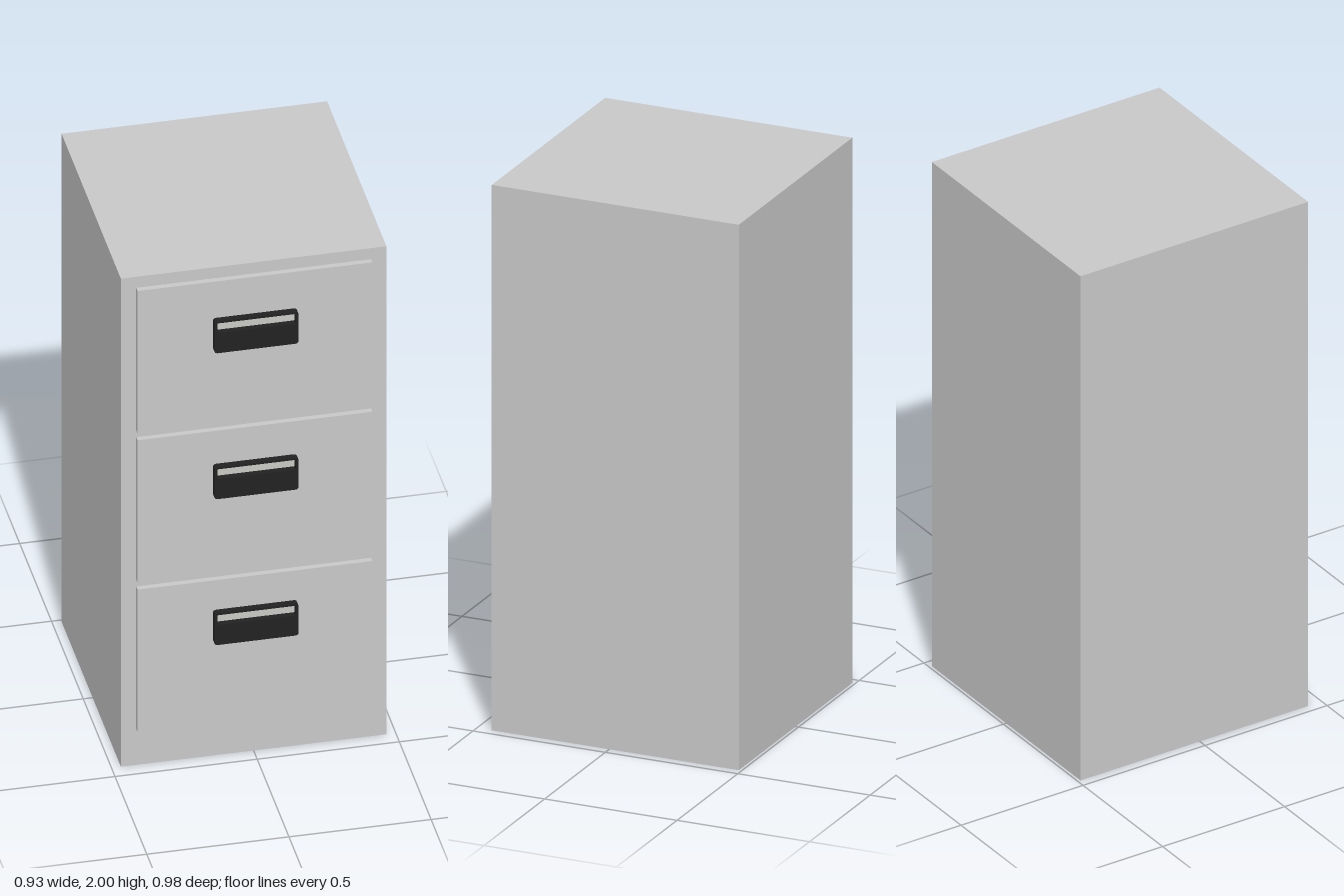
import * as THREE from 'three';

const material = (name, color) => {
  const m = new THREE.MeshStandardMaterial({ color });
  m.name = name;
  return m;
};

function roundedRect(path, w, h, r, cy = 0) {
  const x = w / 2, b = cy - h / 2, t = cy + h / 2;
  path.moveTo(-x + r, b);
  path.lineTo(x - r, b);
  path.quadraticCurveTo(x, b, x, b + r);
  path.lineTo(x, t - r);
  path.quadraticCurveTo(x, t, x - r, t);
  path.lineTo(-x + r, t);
  path.quadraticCurveTo(-x, t, -x, t - r);
  path.lineTo(-x, b + r);
  path.quadraticCurveTo(-x, b, -x + r, b);
  return path;
}

export function createModel() {
  const group = new THREE.Group();
  group.name = 'filingCabinet';
  const steel = material('light grey steel', 0xc8c8c8);
  const black = material('black plastic', 0x222222);
  const card = material('label card', 0xc9c9c4);

  const add = (parent, name, geometry, mat, x, y, z) => {
    const mesh = new THREE.Mesh(geometry, mat);
    mesh.name = name;
    mesh.position.set(x, y, z);
    parent.add(mesh);
  };

  // Cabinet carcass
  add(group, 'cabinetBody', new THREE.BoxGeometry(0.934, 2, 0.933), steel, 0, 1, -0.0225);

  // Handle plate with the label window cut through its upper part
  const outline = roundedRect(new THREE.Shape(), 0.296, 0.13, 0.012);
  outline.holes.push(roundedRect(new THREE.Path(), 0.276, 0.04, 0.003, 0.037));
  const handleGeo = new THREE.ExtrudeGeometry(outline, { depth: 0.024, bevelEnabled: false, curveSegments: 4 });
  const frontGeo = new THREE.BoxGeometry(0.826, 0.584, 0.022);
  const labelGeo = new THREE.BoxGeometry(0.276, 0.04, 0.002);

  // Three equal drawers, bottom to top
  for (let i = 0; i < 3; i++) {
    const drawer = new THREE.Group();
    drawer.name = `drawer${i + 1}`;
    drawer.position.y = 0.439 + i * 0.612;
    const handleY = 0.545 + i * 0.598 - drawer.position.y;
    add(drawer, 'drawerFront', frontGeo, steel, 0, 0, 0.454);
    add(drawer, 'handle', handleGeo, black, 0, handleY, 0.465);
    add(drawer, 'label', labelGeo, card, 0, handleY + 0.037, 0.466);
    group.add(drawer);
  }
  return group;
}
